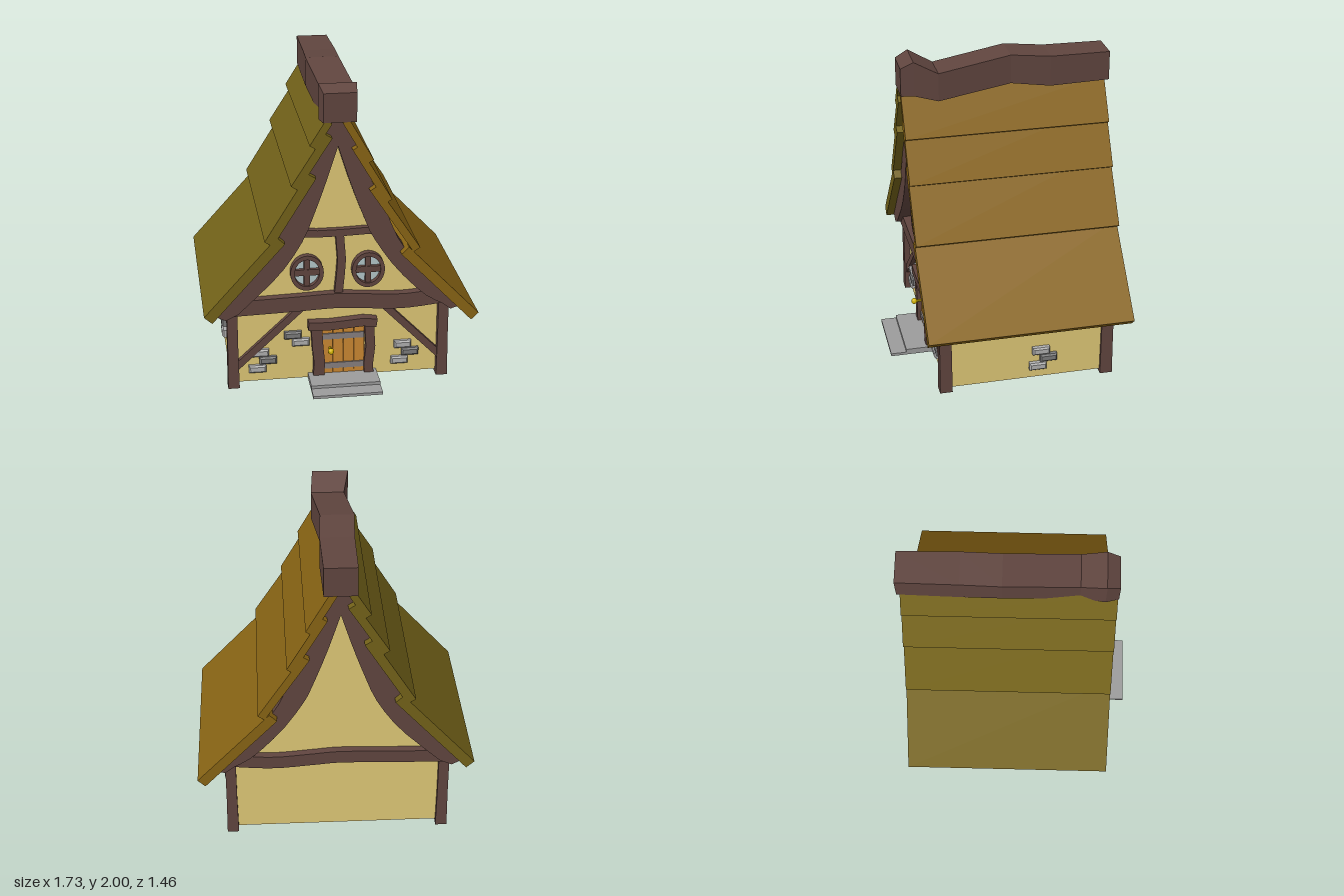
import * as THREE from 'three';

const mat = (color, side = THREE.FrontSide) =>
  new THREE.MeshStandardMaterial({ color, flatShading: true, side });
const WALL = mat(0xdfc876), WOOD = mat(0x60453f), ROOF_L = mat(0x736219), ROOF_R = mat(0x886414);
const DOOR = mat(0xcb8832), IRON = mat(0x878080), GLASS = mat(0xb4c8ca), GOLD = mat(0xd8b800);
const STONE = [mat(0xb0b0b0), mat(0x7c7c7c)], SLAB = mat(0x9c9c9c);
const V2 = ([x, y]) => new THREE.Vector2(x, y);

export function createModel() {
  const house = new THREE.Group();
  house.name = 'house';

  const add = (name, geo, material, parent = house) => {
    const mesh = new THREE.Mesh(geo, material);
    mesh.name = name;
    parent.add(mesh);
    return mesh;
  };
  // box given by its min and max on each axis
  const box = (name, m, x0, x1, y0, y1, z0, z1, parent) => {
    const b = add(name, new THREE.BoxGeometry(x1 - x0, y1 - y0, z1 - z0), m, parent);
    b.position.set((x0 + x1) / 2, (y0 + y1) / 2, (z0 + z1) / 2);
    return b;
  };
  // outline in x/y, extruded from z0 to z1
  const slab = (name, m, pts, z0, z1, parent) => {
    const geo = new THREE.ExtrudeGeometry(new THREE.Shape(pts.map(V2)), { depth: z1 - z0, bevelEnabled: false });
    geo.translate(0, 0, z0);
    return add(name, geo, m, parent);
  };
  // timber of given width along a crooked x/y path
  const timber = (name, path, width, z0, z1, m = WOOD) => {
    const p = path.map(V2), left = [], right = [];
    p.forEach((c, i) => {
      const d = p[Math.min(i + 1, p.length - 1)].clone().sub(p[Math.max(i - 1, 0)]).normalize();
      left.push([c.x - d.y * width / 2, c.y + d.x * width / 2]);
      right.push([c.x + d.y * width / 2, c.y - d.x * width / 2]);
    });
    return slab(name, m, [...right, ...left.reverse()], z0, z1);
  };
  const smooth = (pts, n = 14) =>
    new THREE.SplineCurve(pts.map(V2)).getPoints(n).map((v) => [v.x, v.y]);

  // gable curves, from eaves to top on -x and from top to eaves on +x
  const innerL = smooth([[-0.655, 0.535], [-0.57, 0.615], [-0.385, 0.8], [-0.25, 1.0], [-0.175, 1.18], [-0.1, 1.39], [-0.03, 1.61]]);
  const innerR = smooth([[-0.03, 1.61], [0.05, 1.36], [0.14, 1.12], [0.195, 1.0], [0.33, 0.8], [0.51, 0.61], [0.63, 0.535]]);
  const outerL = smooth([[-0.79, 0.53], [-0.56, 0.8], [-0.395, 1.04], [-0.29, 1.24], [-0.2, 1.45], [-0.09, 1.78]]);
  const outerR = smooth([[0.03, 1.78], [0.16, 1.42], [0.27, 1.17], [0.365, 0.96], [0.54, 0.73], [0.75, 0.51]]);

  // body with both gables
  const mid = (a, b) => a.map((p, i) => [(p[0] + b[i][0]) / 2, (p[1] + b[i][1]) / 2]);
  slab('walls', WALL, [[-0.7, 0.025], [0.67, 0.025], [0.67, 0.53],
    ...mid(outerR, innerR).reverse().slice(1), ...mid(outerL, innerL).reverse().slice(0, -1), [-0.7, 0.54]], -0.6, 0.45);

  // curved gable boards, front and back
  for (const [name, z0, z1] of [['frontGableBoard', 0.42, 0.535], ['backGableBoard', -0.66, -0.57]]) {
    slab(name, WOOD, [[-0.73, 0.5], ...innerL, ...innerR.slice(1), [0.69, 0.49],
      ...[...outerR].reverse(), ...[...outerL].reverse()], z0, z1);
  }

  // corner posts, a little wider at the foot
  for (const x of [-0.687, 0.655]) {
    for (const z of [0.452, -0.592]) {
      const geo = new THREE.BoxGeometry(0.066, 0.54, 0.076, 1, 2, 1);
      const p = geo.attributes.position;
      for (let i = 0; i < p.count; i++) {
        if (p.getY(i) < -0.1) p.setXYZ(i, p.getX(i) * 1.1, p.getY(i), p.getZ(i) * 1.05);
      }
      add('cornerPost', geo, WOOD).position.set(x, 0.27, z);
    }
  }

  // crooked timbers on the gables
  const sill = smooth([[-0.7, 0.56], [-0.3, 0.57], [-0.03, 0.578], [0.15, 0.565], [0.4, 0.55], [0.67, 0.575]], 16);
  timber('frontCrossBeam', sill, 0.1, 0.44, 0.505);
  timber('backCrossBeam', sill, 0.085, -0.65, -0.59);
  timber('upperCrossBeam', [[-0.27, 1.04], [-0.15, 1.03], [0, 1.03], [0.15, 1.035], [0.24, 1.03]], 0.045, 0.44, 0.49);
  timber('gableStud', [[-0.02, 0.6], [-0.005, 0.75], [0.002, 0.85], [-0.012, 1.03]], 0.052, 0.44, 0.488);
  timber('leftBrace', [[0.26, 0.53], [0.64, 0.14]], 0.045, 0.44, 0.48);
  timber('rightBrace', [[-0.24, 0.54], [-0.67, 0.14]], 0.045, 0.44, 0.48);

  // roof boards: lower outer and upper outer corner, thickness
  const boards = [
    [[0.86, 0.475], [0.405, 0.95], 0.065, ROOF_R], [[0.475, 0.945], [0.2, 1.36], 0.05, ROOF_R],
    [[0.295, 1.272], [0.09, 1.62], 0.045, ROOF_R], [[0.18, 1.53], [0.03, 1.79], 0.045, ROOF_R],
    [[-0.865, 0.555], [-0.41, 1.06], 0.067, ROOF_L], [[-0.485, 1.035], [-0.22, 1.46], 0.06, ROOF_L],
    [[-0.32, 1.385], [-0.115, 1.705], 0.052, ROOF_L], [[-0.207, 1.635], [-0.11, 1.79], 0.045, ROOF_L],
  ];
  for (const [lo, hi, t, m] of boards) {
    const d = V2(hi).sub(V2(lo)).normalize().multiplyScalar(t);
    const n = lo[0] > 0 ? [-d.y, d.x] : [d.y, -d.x]; // toward the inside
    const pts = [lo, hi, [hi[0] + n[0], hi[1] + n[1]], [lo[0] + n[0], lo[1] + n[1]]];
    slab('roofBoard', m, pts, -0.71, 0.585);
  }

  // crooked ridge beam: z, x from, x to, y from, y to
  const rings = [
    [0.59, -0.125, 0.075, 1.775, 1.955], [0.51, -0.145, 0.085, 1.775, 1.995], [0.36, -0.11, 0.1, 1.735, 1.915],
    [-0.1, -0.145, 0.065, 1.8, 1.985], [-0.35, -0.13, 0.08, 1.767, 1.962], [-0.73, -0.125, 0.075, 1.775, 1.96],
  ];
  const pos = [], idx = [];
  for (const [z, x0, x1, y0, y1] of rings) pos.push(x0, y0, z, x1, y0, z, x1, y1, z, x0, y1, z);
  for (let r = 0; r < rings.length - 1; r++) {
    for (let k = 0; k < 4; k++) {
      const a = r * 4 + k, b = r * 4 + (k + 1) % 4;
      idx.push(a, a + 4, b, b, a + 4, b + 4);
    }
  }
  const e = (rings.length - 1) * 4;
  idx.push(0, 1, 2, 0, 2, 3, e, e + 2, e + 1, e, e + 3, e + 2);
  const ridge = new THREE.BufferGeometry();
  ridge.setAttribute('position', new THREE.Float32BufferAttribute(pos, 3));
  ridge.setIndex(idx);
  const ridgeFlat = ridge.toNonIndexed();
  ridgeFlat.computeVertexNormals();
  add('ridgeBeam', ridgeFlat, WOOD);

  // round windows with a cross
  for (const x of [-0.215, 0.17]) {
    const win = new THREE.Group();
    win.name = 'roundWindow';
    win.position.set(x, 0.77, 0.45);
    house.add(win);
    const rim = new THREE.Shape().absellipse(0, 0, 0.104, 0.117, 0, Math.PI * 2);
    rim.holes.push(new THREE.Path().absellipse(0, 0, 0.078, 0.09, 0, Math.PI * 2, true));
    add('windowRim', new THREE.ExtrudeGeometry(rim, { depth: 0.04, bevelEnabled: false, curveSegments: 14 }), WOOD, win);
    const pane = add('windowPane', new THREE.CircleGeometry(0.09, 20), GLASS, win);
    pane.position.z = 0.006;
    box('windowBar', WOOD, -0.085, 0.085, -0.02, 0.02, 0, 0.03, win);
    box('windowBar', WOOD, -0.018, 0.018, -0.095, 0.095, 0, 0.028, win);
  }

  // door with planks, iron bands, knob and crooked frame
  for (let i = 0; i < 4; i++) {
    const w = 0.0675, x = -0.118 + i * w;
    box('doorPlank', DOOR, x, x + w - 0.003, 0.045, 0.4, 0.44, 0.468);
  }
  for (const y of [0.09, 0.297]) box('doorBand', IRON, -0.115, 0.148, y, y + 0.04, 0.45, 0.476);
  add('doorKnob', new THREE.SphereGeometry(0.02, 12, 8), GOLD).position.set(-0.07, 0.235, 0.522);
  add('knobStem', new THREE.CylinderGeometry(0.009, 0.009, 0.05, 8).rotateX(Math.PI / 2), GOLD).position.set(-0.07, 0.235, 0.49);
  timber('doorPost', [[-0.145, 0.04], [-0.14, 0.15], [-0.15, 0.25], [-0.158, 0.4]], 0.07, 0.44, 0.495);
  timber('doorPost', [[0.178, 0.04], [0.175, 0.12], [0.188, 0.24], [0.178, 0.4]], 0.06, 0.44, 0.495);
  timber('doorLintel', [[-0.21, 0.41], [-0.08, 0.405], [0.03, 0.412], [0.14, 0.42], [0.225, 0.408]], 0.055, 0.44, 0.51);

  // door steps
  box('lowerStep', SLAB, -0.21, 0.23, 0.018, 0.036, 0.44, 0.73);
  box('upperStep', SLAB, -0.21, 0.23, 0.036, 0.056, 0.44, 0.63);

  // exposed stones: centre along the wall, height, shade
  const stones = (name, list, place) => {
    const g = new THREE.Group();
    g.name = name;
    house.add(g);
    place(g);
    for (const [u, y, shade] of list) {
      const s = new THREE.Shape([[-0.045, -0.015], [0.045, -0.015], [0.045, 0.015], [-0.045, 0.015]].map(V2));
      const geo = new THREE.ExtrudeGeometry(s, { depth: 0.03, bevelThickness: 0.01, bevelSize: 0.01, bevelSegments: 1 });
      add('stone', geo, STONE[shade], g).position.set(u, y, 0);
    }
  };
  const trio = [[0, 0.227, 0], [0.048, 0.173, 1], [-0.02, 0.116, 0]];
  const pair = [[0, 0.338, 1], [0.05, 0.286, 0]];
  stones('frontStones', trio, (g) => g.position.set(-0.513, 0, 0.44));
  stones('frontStones', trio, (g) => g.position.set(0.4, 0, 0.44));
  stones('frontStones', pair, (g) => g.position.set(-0.305, 0, 0.44));
  stones('leftStones', trio, (g) => { g.position.set(0.665, 0, -0.16); g.rotation.y = Math.PI / 2; });
  stones('rightStones', pair, (g) => { g.position.set(-0.7, 0, 0.18); g.rotation.y = -Math.PI / 2; });

  return house;
}
